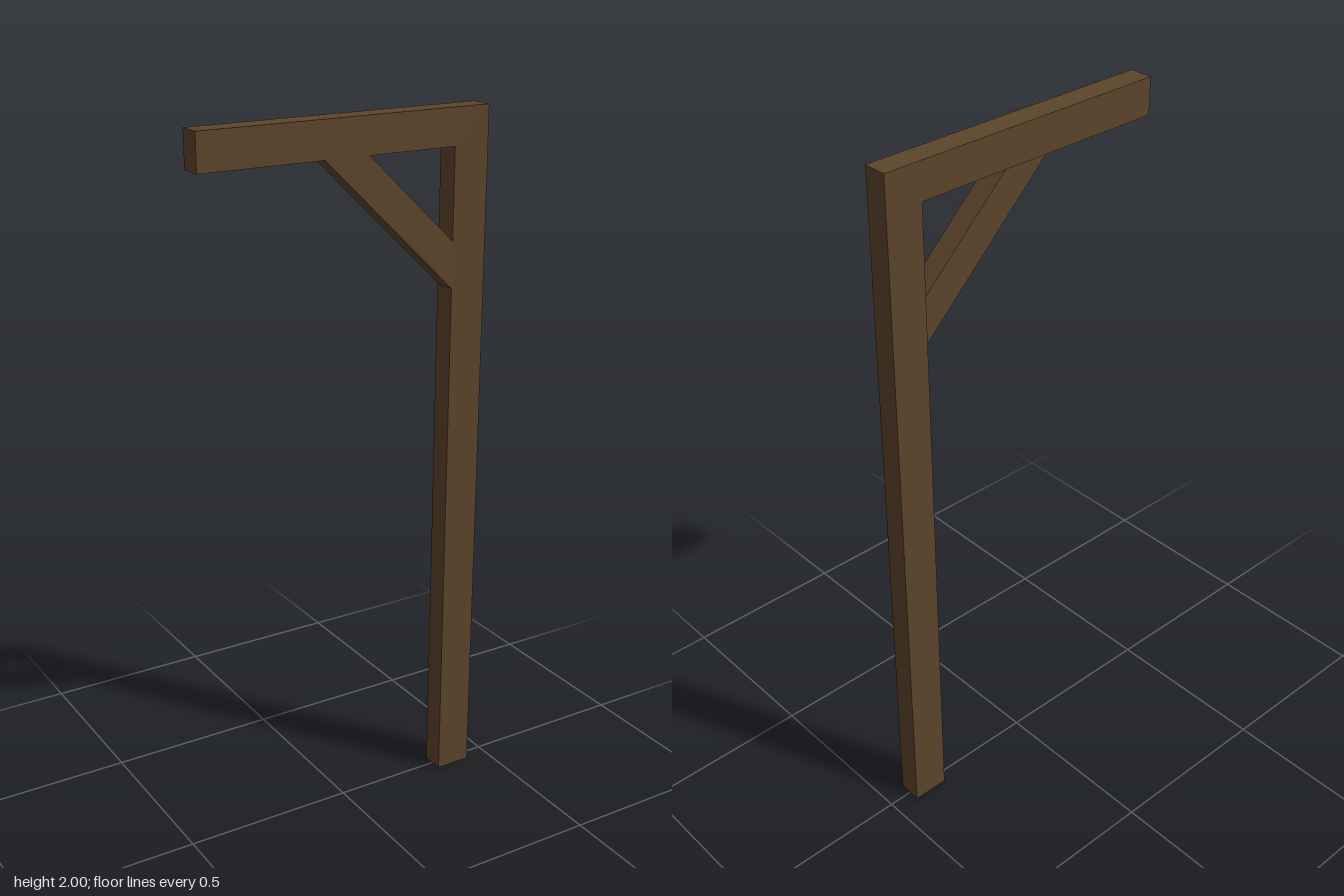
import * as THREE from 'three';

// Extrudes an outline in the xy plane between two depths.
function slab(name, points, zBack, zFront, material) {
  const shape = new THREE.Shape(points.map(([x, y]) => new THREE.Vector2(x, y)));
  const geometry = new THREE.ExtrudeGeometry(shape, { depth: zFront - zBack, bevelEnabled: false });
  geometry.translate(0, 0, zBack);
  const mesh = new THREE.Mesh(geometry, material);
  mesh.name = name;
  return mesh;
}

export function createModel() {
  const group = new THREE.Group();
  group.name = 'bracketPost';
  const wood = new THREE.MeshStandardMaterial({ color: 0x5c452b });
  wood.name = 'dark wood';

  const half = 0.0335; // half the timber depth
  const side = 0.43; // outer end in x
  const inner = 0.324; // inner face of the post
  const under = 1.898; // underside of the beam

  // Upright post and the beam it carries, as one L-shaped frame
  group.add(slab('postAndBeam', [
    [inner, 0], [side, 0], [side, 2], [-side, 2], [-side, under], [inner, under],
  ], -half, half, wood));

  // Diagonal brace, cut to meet post and beam, set in slightly at the back
  group.add(slab('diagonalBrace', [
    [inner, 1.515], [inner, 1.645], [0.06, under], [-0.073, under],
  ], -half + 0.004, half, wood));

  return group;
}
